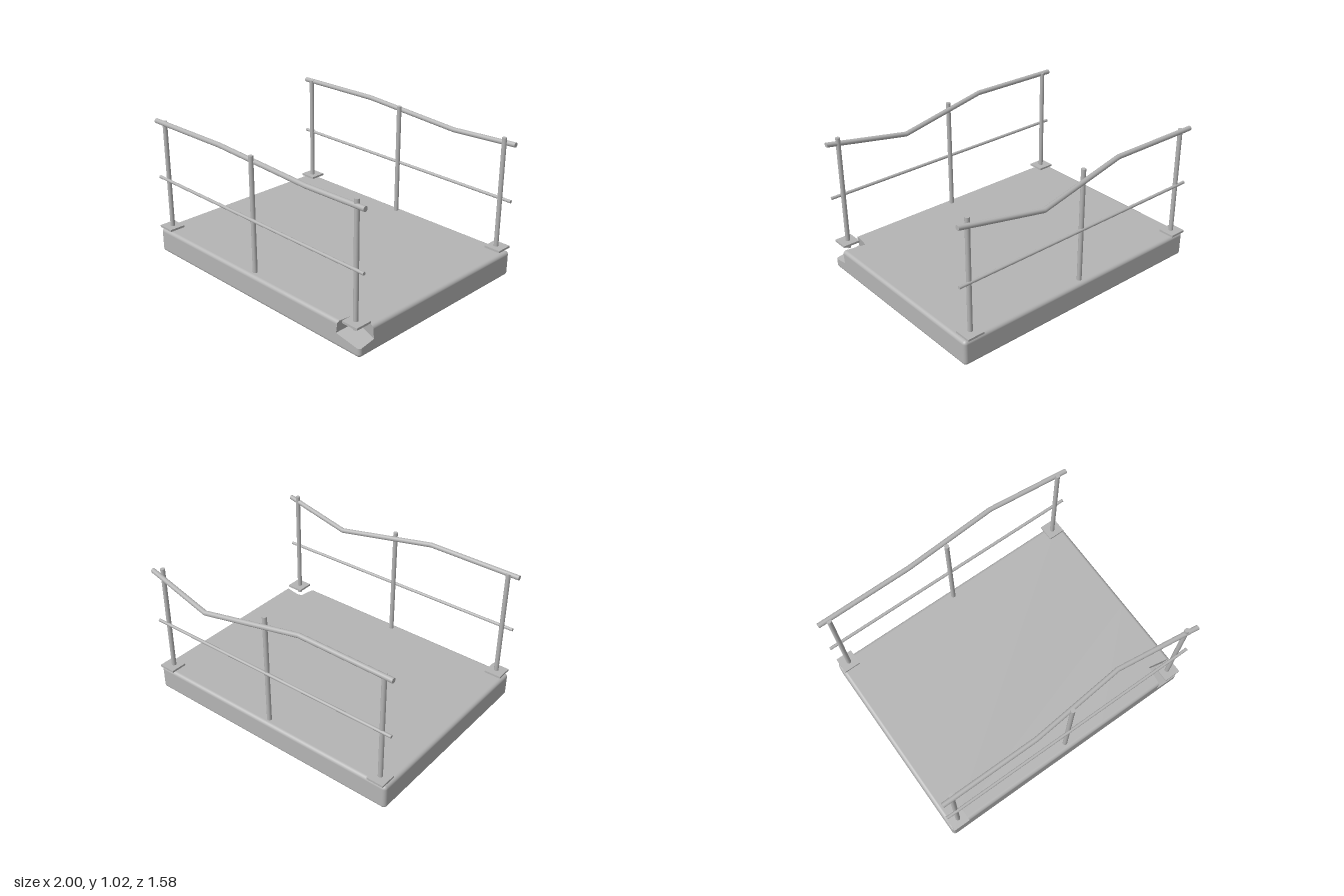
import * as THREE from 'three';
import { RoundedBoxGeometry } from 'three/addons/geometries/RoundedBoxGeometry.js';

const V = (x, y, z) => new THREE.Vector3(x, y, z);

// Split a list of triangles (arrays of {p, n}) by a plane into [front, back]
function split(tris, plane) {
  const sides = [[], []];
  for (const tri of tris) {
    sides.forEach((list, s) => {
      const sign = s ? -1 : 1, poly = [];
      tri.forEach((a, i) => {
        const b = tri[(i + 1) % 3];
        const da = sign * plane.distanceToPoint(a.p), db = sign * plane.distanceToPoint(b.p);
        if (da >= 0) poly.push(a);
        if (da * db < 0) {
          const t = da / (da - db);
          poly.push({ p: a.p.clone().lerp(b.p, t), n: a.n.clone().lerp(b.n, t).normalize() });
        }
      });
      for (let i = 1; i + 1 < poly.length; i++) list.push([poly[0], poly[i], poly[i + 1]]);
    });
  }
  return sides;
}

// Flat polygon as a fan of triangles
function fan(points) {
  const n = new THREE.Plane().setFromCoplanarPoints(points[0], points[1], points[2]).normal;
  const c = points.map(p => ({ p, n }));
  return c.slice(2).map((q, i) => [c[0], c[i + 1], q]);
}

// Rounded slab with a broken-out front corner
function slabGeometry() {
  const box = new RoundedBoxGeometry(2, 0.182, 1.495, 3, 0.025).toNonIndexed();
  box.translate(0, 0.091, 0.0275);
  const pos = box.attributes.position, nor = box.attributes.normal;
  let rest = [];
  for (let i = 0; i < pos.count; i += 3) {
    rest.push([0, 1, 2].map(k => ({
      p: V().fromBufferAttribute(pos, i + k), n: V().fromBufferAttribute(nor, i + k),
    })));
  }
  // Corners of the break
  const A = V(0.803, 0.097, 0.775), B = V(0.815, 0.182, 0.775), C = V(0.835, 0.182, 0.628);
  const D = V(1, 0.182, 0.66), E = V(1, 0.087, 0.65), G = V(0.8275, 0.12, 0.621);
  const H = V(1, 0.065, 0.775);
  const walls = [[A, H, E], [A, G, C], [G, E, D]]
    .map(w => new THREE.Plane().setFromCoplanarPoints(...w));
  const kept = [];
  for (const plane of walls) {
    const [inside, outside] = split(rest, plane);
    kept.push(...outside);
    rest = inside;
  }
  // Exposed faces, trimmed where they meet the rounded edges
  kept.push(
    ...fan([A, H.clone().lerp(A, 0.07), H.clone().lerp(E, 0.11), E, G]),
    ...fan([A, G, C, B.clone().lerp(C, 0.1), B.clone().lerp(A, 0.15)]),
    ...fan([G, E, D.clone().lerp(E, 0.15), D.clone().lerp(C, 0.08), C]),
  );
  const verts = kept.flat();
  const geo = new THREE.BufferGeometry();
  geo.setAttribute('position', new THREE.Float32BufferAttribute(verts.flatMap(v => v.p.toArray()), 3));
  geo.setAttribute('normal', new THREE.Float32BufferAttribute(verts.flatMap(v => v.n.toArray()), 3));
  return geo;
}

// Round bar whose rings sit on the given points, running along x
function barGeometry(points, radius) {
  const last = points.length - 1;
  const geo = new THREE.CylinderGeometry(radius, radius, last, 16, last);
  geo.rotateZ(-Math.PI / 2);
  const pos = geo.attributes.position;
  for (let i = 0; i < pos.count; i++) {
    const q = points[Math.round(pos.getX(i) + last / 2)];
    pos.setXYZ(i, q.x, q.y + pos.getY(i), q.z + pos.getZ(i));
  }
  return geo;
}

export function createModel() {
  const model = new THREE.Group();
  const concrete = new THREE.MeshStandardMaterial({ color: 0xb4b4b4 });
  concrete.name = 'grey';
  const add = (parent, name, geo, x = 0, y = 0, z = 0) => {
    const mesh = new THREE.Mesh(geo, concrete);
    mesh.name = name;
    mesh.position.set(x, y, z);
    parent.add(mesh);
  };

  add(model, 'slab', slabGeometry());

  // Railings: bent handrail, thin middle bar, three posts and two foot plates
  const postGeo = new THREE.CylinderGeometry(0.0165, 0.0165, 0.855, 16);
  const plateGeo = new THREE.BoxGeometry(0.124, 0.015, 0.12);
  const handrailGeo = barGeometry(
    [V(-1, 0.995, 0.015), V(-0.3, 1.0, 0.015), V(0.42, 0.908, -0.07), V(1, 0.97, 0.017)], 0.0175);
  const middleGeo = barGeometry([V(-1, 0.576, 0.02), V(1, 0.565, 0.02)], 0.011);
  for (const [name, z, railShift] of [['frontRailing', 0.724, 0], ['backRailing', -0.672, -0.032]]) {
    const railing = new THREE.Group();
    railing.name = name;
    railing.position.z = z;
    add(railing, 'handrail', handrailGeo, 0, 0, railShift);
    add(railing, 'middleBar', middleGeo, 0, 0, railShift);
    for (const x of [-0.924, -0.004, 0.918]) add(railing, 'post', postGeo, x, 0.578, 0);
    for (const x of [-0.928, 0.923]) add(railing, 'footPlate', plateGeo, x, 0.203, z > 0 ? 0 : -0.006);
    model.add(railing);
  }
  return model;
}
